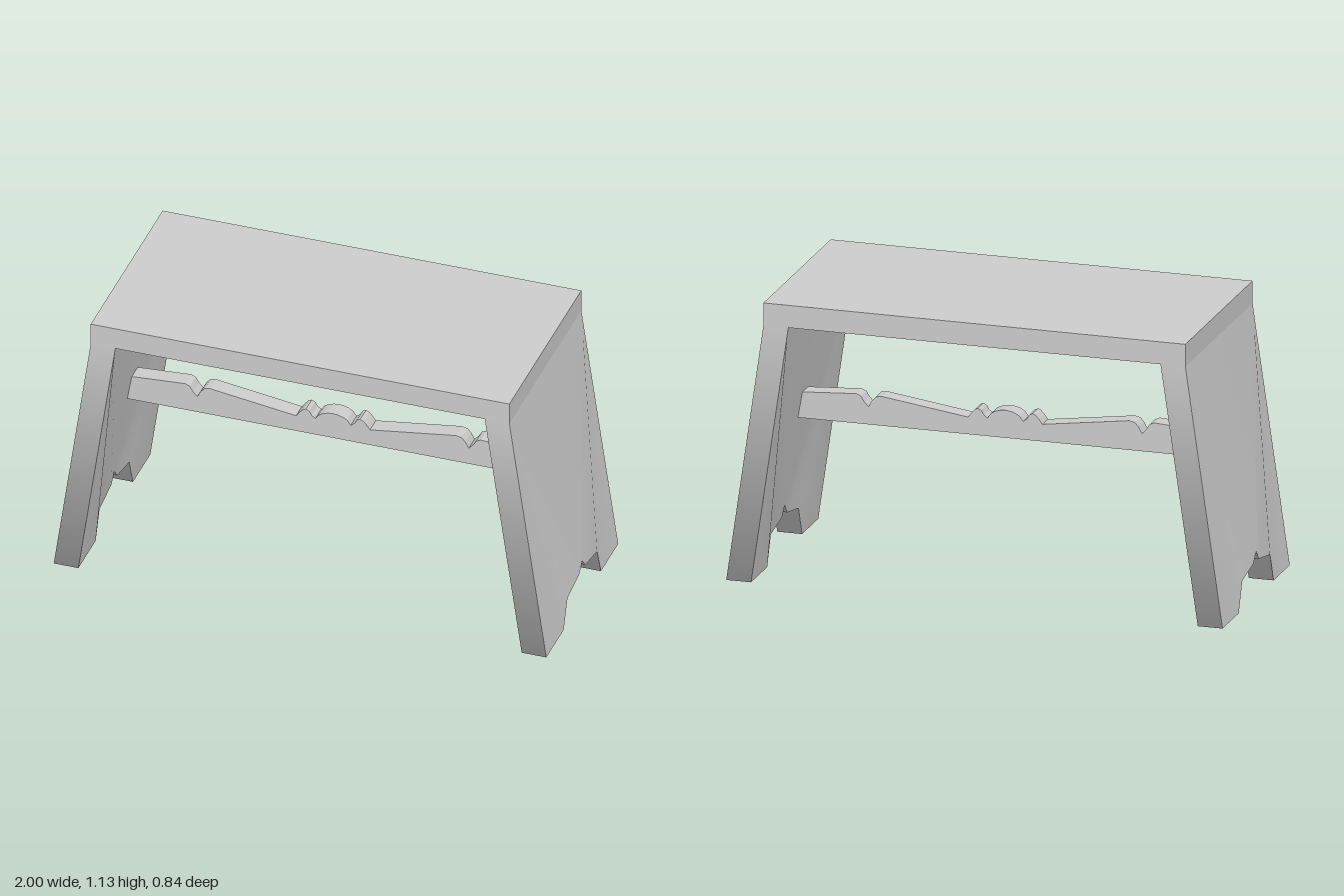
import * as THREE from 'three';

const grey = new THREE.MeshStandardMaterial({ color: 0xcccccc });
grey.name = 'plain grey';

const SEAT_BOTTOM = 1.04, SEAT_TOP = 1.13, HALF_DEPTH = 0.42;

function mesh(name, geometry) {
  const m = new THREE.Mesh(geometry, grey);
  m.name = name;
  return m;
}

function buffer(positions, indices) {
  const g = new THREE.BufferGeometry();
  g.setAttribute('position', new THREE.Float32BufferAttribute(positions.flat(), 3));
  g.setIndex(indices);
  g.computeVertexNormals();
  return g;
}

// Half outline of a leg board as [z, y], from the top corner to the arch peak
const halfLeg = [[HALF_DEPTH, SEAT_BOTTOM], [HALF_DEPTH, 0], [0.218, 0], [0.173, 0.118], [0.035, 0.143], [0, 0.183]];
const legOutline = [...halfLeg, ...halfLeg.slice(0, -1).reverse().map(([z, y]) => [-z, y])];

// Splayed leg board: the top edge sits under the seat, the foot profile is pushed outwards
function makeLeg(name) {
  const leg = new THREE.Group();
  leg.name = name;
  const last = legOutline.length - 1, peak = halfLeg.length - 1;
  const ring = (topX, footX) => legOutline.map(([z, y]) => [y === SEAT_BOTTOM ? topX : footX, y, z]);
  const outer = ring(0.85, 1), inner = ring(0.75, 0.9);

  // Broad faces: a fan from each top corner down to the foot profile
  const front = [], back = [];
  const tri = (a, b, c) => { front.push(a, b, c); back.push(a, c, b); };
  for (let i = 1; i < peak; i++) tri(0, i, i + 1);
  tri(0, peak, last);
  for (let i = peak; i < last - 1; i++) tri(last, i, i + 1);
  leg.add(mesh('legOuterFace', buffer(outer, front)), mesh('legInnerFace', buffer(inner, back)));

  // Rim running down the sides, under the feet and through the arch, softly shaded
  const edge = [];
  for (let i = 0; i < last; i++) {
    const o = i, p = i + 1, n = i + last + 1, m = n + 1;
    edge.push(o, n, p, n, m, p);
  }
  const rim = buffer([...outer, ...inner], edge);
  const segmentNormal = (i) => {
    const [z0, y0] = legOutline[i], [z1, y1] = legOutline[i + 1];
    return new THREE.Vector3(0, z1 - z0, y0 - y1).normalize();
  };
  for (let i = 0; i <= last; i++) {
    const n = segmentNormal(Math.max(i - 1, 0)).add(segmentNormal(Math.min(i, last - 1))).normalize();
    rim.attributes.normal.setXYZ(i, n.x, n.y, n.z);
    rim.attributes.normal.setXYZ(i + last + 1, n.x, n.y, n.z);
  }
  leg.add(mesh('legRim', rim));
  return leg;
}

// Carved rail between the legs, mirrored about its middle bump
function makeRail() {
  const halfTop = [
    [0.86, 0.654], [0.8, 0.659], [0.6, 0.672], [0.582, 0.664], [0.568, 0.642], [0.551, 0.624],
    [0.537, 0.65], [0.522, 0.666], [0.5, 0.671], [0.15, 0.622], [0.137, 0.64], [0.122, 0.656],
    [0.11, 0.661], [0.097, 0.655], [0.087, 0.638], [0.072, 0.626], [0.057, 0.646], [0.04, 0.656], [0.02, 0.662], [0, 0.664],
  ];
  const top = [...halfTop, ...halfTop.slice(0, -1).reverse().map(([x, y]) => [-x, y])];
  const points = [[-0.86, 0.553], [0.86, 0.553], ...top].map(([x, y]) => new THREE.Vector2(x, y));
  const g = new THREE.ExtrudeGeometry(new THREE.Shape(points), { depth: 0.07, bevelEnabled: false });
  return mesh('rail', g.translate(0, 0, -0.035));
}

export function createModel() {
  const model = new THREE.Group();
  model.name = 'stool';

  const seat = mesh('seat', new THREE.BoxGeometry(1.7, SEAT_TOP - SEAT_BOTTOM, HALF_DEPTH * 2));
  seat.position.y = (SEAT_TOP + SEAT_BOTTOM) / 2;

  const leftLeg = makeLeg('leftLeg');
  const rightLeg = makeLeg('rightLeg');
  rightLeg.rotation.y = Math.PI;

  model.add(seat, leftLeg, rightLeg, makeRail());
  return model;
}
